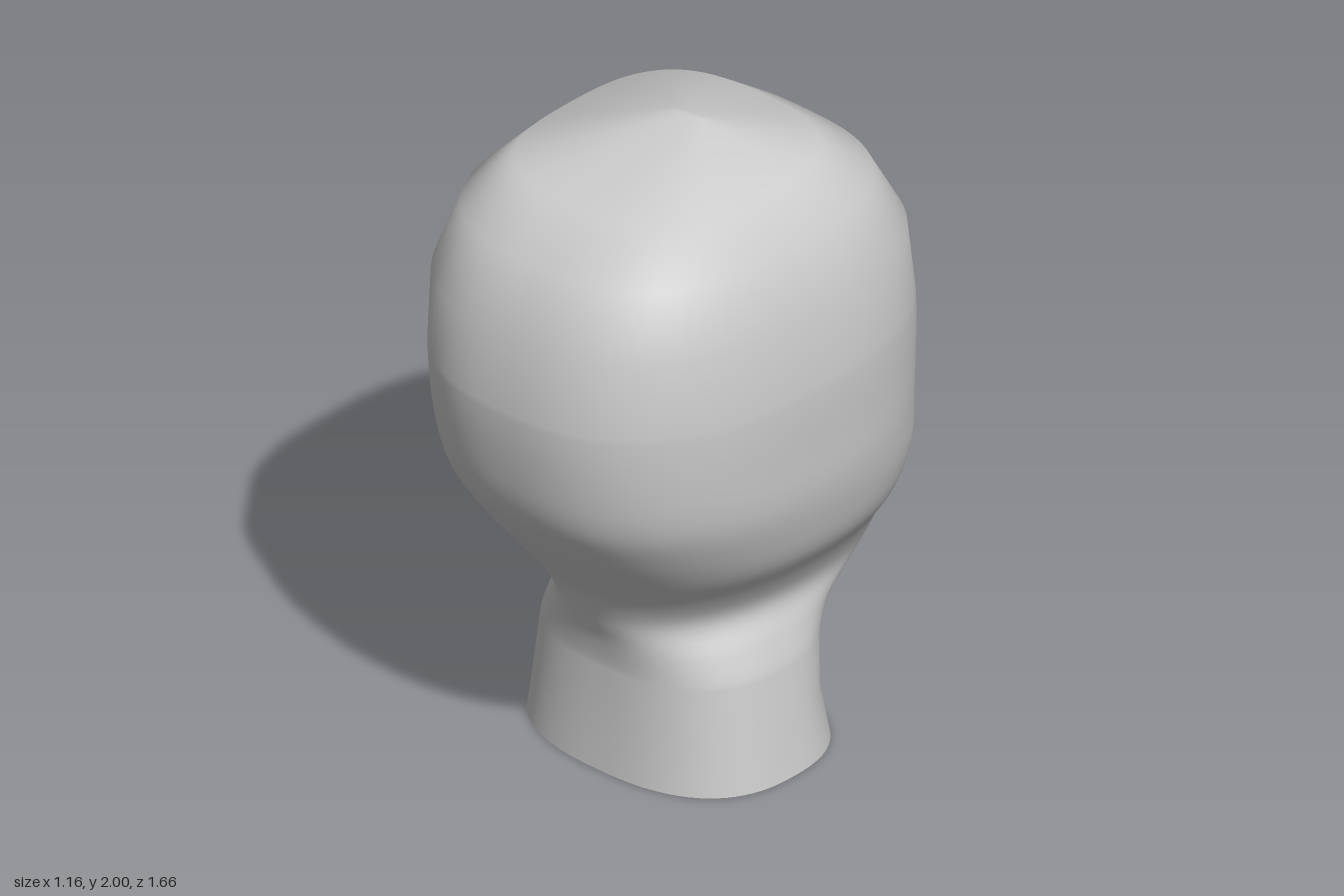
import * as THREE from 'three';

const skin = new THREE.MeshStandardMaterial({ color: 0xcccccc, side: THREE.DoubleSide });
skin.name = 'grey';

// Cross-sections: y, half width, back z, face z, squareness
const rows = [
  [0, 0.445, 0.43, -0.27, 2.5], [0.17, 0.42, 0.415, -0.24, 2.5], [0.33, 0.4, 0.41, -0.26, 2.5],
  [0.43, 0.37, 0.425, -0.36, 2.4], [0.5, 0.347, 0.45, -0.53, 2.25], [0.55, 0.355, 0.47, -0.595, 2.2],
  [0.63, 0.4, 0.51, -0.605, 2.25], [0.75, 0.485, 0.6, -0.625, 2.3], [0.87, 0.53, 0.69, -0.635, 2.4],
  [1, 0.56, 0.77, -0.62, 2.45], [1.15, 0.572, 0.81, -0.615, 2.5], [1.36, 0.58, 0.83, -0.61, 2.5],
  [1.6, 0.565, 0.81, -0.57, 2.6], [1.8, 0.495, 0.71, -0.45, 2.75], [1.92, 0.38, 0.54, -0.28, 2.9],
  [2, 0.05, 0.045, 0.03, 2.4], [2, 0, 0.04, 0.035, 2.4],
];

// Slope of column k at row i
const slope = (i, k) => (rows[i + 1][k] - rows[i - 1][k]) / (rows[i + 1][0] - rows[i - 1][0]);

// Smoothly blended section at height y
function section(y) {
  let i = 1;
  while (rows[i + 1][0] < y) i++;
  const span = rows[i + 1][0] - rows[i][0], t = (y - rows[i][0]) / span;
  const w = t * t * (3 - 2 * t);
  return rows[i].map((v, k) => v + (rows[i + 1][k] - v) * w +
    span * t * (1 - t) * ((1 - t) * slope(i, k) - t * slope(i + 1, k)));
}

const bump = (x, y, cx, cy, sx, sy) =>
  Math.exp(-(((x - cx) / sx) ** 2) - ((y - cy) / sy) ** 2);

// Relief of the face along z: sockets, brow, cheeks, lips, chin and nose
function relief(x, y) {
  const ax = Math.abs(x);
  let d = 0.07 * bump(ax, y, 0.19, 1.12, 0.1, 0.08);
  d -= 0.03 * bump(ax, y, 0.17, 1.25, 0.14, 0.06);
  d -= 0.015 * bump(ax, y, 0.24, 0.92, 0.1, 0.1);
  d -= 0.02 * bump(ax, y, 0, 0.77, 0.12, 0.06);
  d += 0.008 * bump(ax, y, 0, 0.73, 0.13, 0.018);
  d -= 0.008 * bump(ax, y, 0, 0.57, 0.12, 0.05);
  if (y > 0.81 && y < 1.15) {
    const down = (1.15 - y) / 0.24;
    const rise = y > 0.91 ? Math.pow(down, 0.8) : Math.pow((y - 0.81) / 0.1, 1.15);
    const reach = ax / (0.055 + 0.05 * Math.min(1, down));
    d -= 0.195 * rise * Math.pow(Math.max(0, 1 - reach), 1.15);
  }
  return d;
}

// Depth of the face surface at x, y
function faceZ(x, y) {
  const [, a, back, front, n] = section(y);
  const zc = (back + front) / 2, b = (back - front) / 2;
  return zc - b * Math.pow(1 - Math.pow(Math.abs(x) / a, n), 1 / n) + relief(x, y);
}

function grid(rings, closed) {
  const pos = [], idx = [], m = rings[0].length;
  rings.forEach(r => r.forEach(p => pos.push(...p)));
  for (let i = 0; i < rings.length - 1; i++) {
    for (let j = 0; j < (closed ? m : m - 1); j++) {
      const a = i * m + j, b = i * m + (j + 1) % m;
      idx.push(a, a + m, b, b, a + m, b + m);
    }
  }
  const g = new THREE.BufferGeometry();
  g.setAttribute('position', new THREE.Float32BufferAttribute(pos, 3));
  g.setIndex(idx);
  g.computeVertexNormals();
  return g;
}

function ring([y, a, back, front, n]) {
  const zc = (back + front) / 2, b = (back - front) / 2, count = 144, pts = [];
  for (let j = 0; j < count; j++) {
    const u = (j / count) * Math.PI * 2;
    const t = u - 0.6 * Math.sin(u); // points gather at the face
    const s = Math.sin(t), c = Math.cos(t);
    const r = Math.pow(Math.abs(s) ** n + Math.abs(c) ** n, -1 / n);
    const x = a * r * s;
    let z = zc - b * r * c;
    if (z < -0.2 && y > 0.5 && y < 1.5) z += relief(x, y);
    pts.push([x, y, z]);
  }
  return pts;
}

function add(group, name, geometry) {
  const mesh = new THREE.Mesh(geometry, skin);
  mesh.name = name;
  group.add(mesh);
  return mesh;
}

export function createModel() {
  const model = new THREE.Group();
  model.name = 'headBust';

  // Head and open neck: coarse rings at the neck base and crown, fine ones on the face
  const rings = rows.filter(r => r[0] < 0.3).map(ring);
  for (let k = 0; k <= 52; k++) rings.push(ring(section(0.33 + 0.02 * k)));
  rows.filter(r => r[0] > 1.4).forEach(r => rings.push(ring(r)));
  add(model, 'headAndNeck', grid(rings, true));

  for (const side of [1, -1]) {
    const label = side > 0 ? 'left' : 'right';

    // Eye set into its socket
    const eye = add(model, label + 'Eye', new THREE.SphereGeometry(0.045, 24, 16));
    eye.position.set(side * 0.215, 1.125, faceZ(0.215, 1.125) + 0.028);

    // Arched eyebrow: a flat raised plate tapering to the outer end
    const strips = [[], [], [], []];
    for (let i = 0; i <= 16; i++) {
      const t = i / 16;
      const x = 0.08 + 0.25 * t;
      const y = 1.245 - 0.03 * t + 0.055 * Math.sin(Math.PI * Math.pow(t, 0.85));
      const h = 0.026 * (1 - 0.75 * t * t);
      [[-1, 0.01], [-0.95, -0.016], [0.8, -0.016], [1, 0.01]].forEach(([v, lift], k) =>
        strips[k].push([side * x, y + v * h, faceZ(x, y + v * h) + lift]));
    }
    if (side < 0) strips.forEach(s => s.reverse());
    add(model, label + 'Eyebrow', grid(strips, false));
  }
  return model;
}
